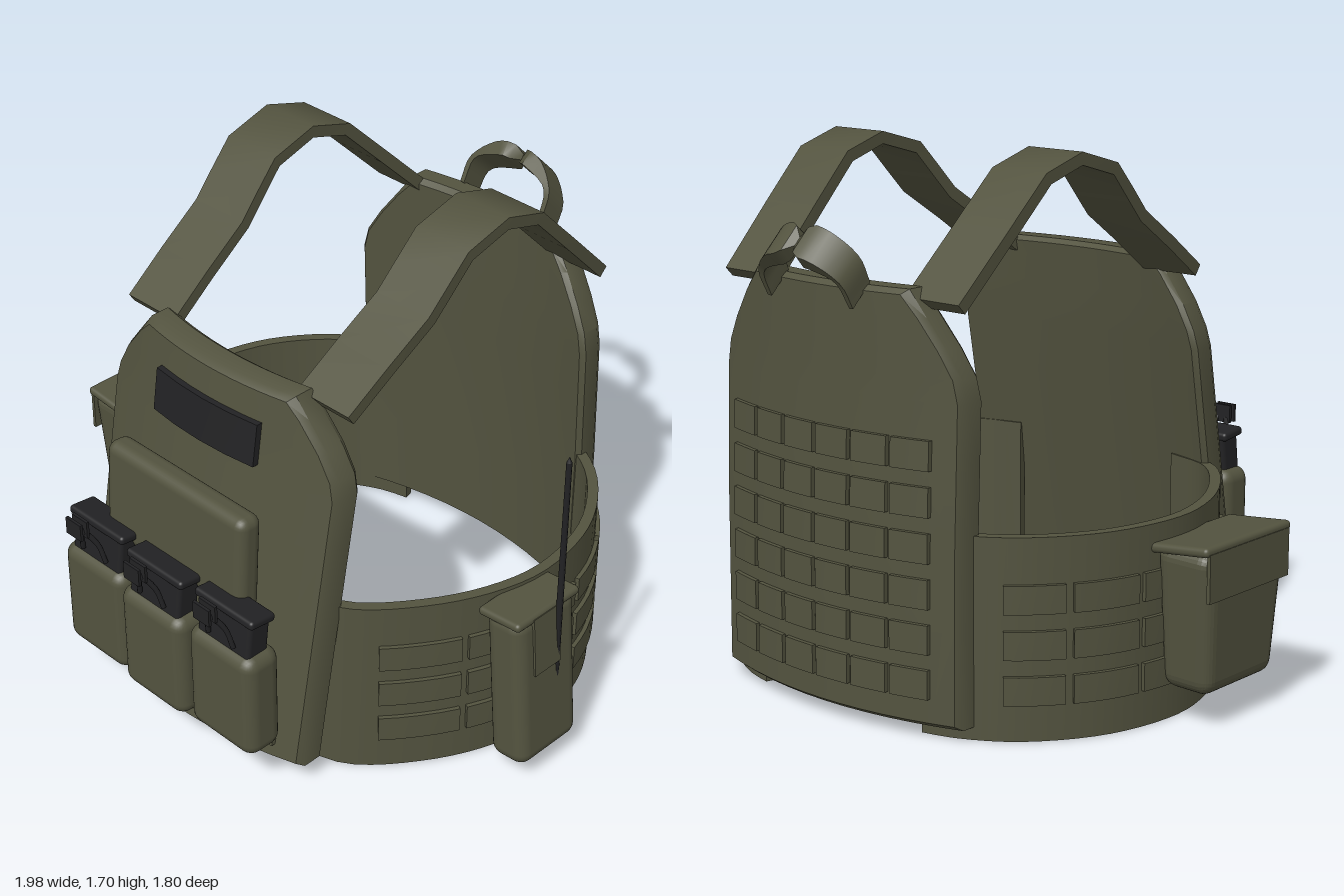
import * as THREE from 'three';
import { toCreasedNormals } from 'three/addons/utils/BufferGeometryUtils.js';
import { RoundedBoxGeometry } from 'three/addons/geometries/RoundedBoxGeometry.js';

const CX = 0.015; // symmetry line of the vest
const V = (x, y, z) => new THREE.Vector3(x, y, z);

// Linear lookup in a short [key, value] table with rising keys
function lookup(table, k) {
  for (let i = 1; i < table.length; i++) {
    const [k0, a] = table[i - 1], [k1, b] = table[i];
    if (k <= k1 || i === table.length - 1) return a + (b - a) * THREE.MathUtils.clamp((k - k0) / (k1 - k0), 0, 1);
  }
}

// Closed slab: f(u, v, s) gives a point, s = 0 inner face, s = 1 outer face
function slab(f, nu, nv, levels = [0, 1]) {
  const pos = [];
  const quad = (a, b, c, d) => [a, b, c, a, c, d].forEach(p => pos.push(p.x, p.y, p.z));
  for (let i = 0; i < nu; i++) for (let j = 0; j < nv; j++) {
    const p = (di, dj, s) => f((i + di) / nu, (j + dj) / nv, s);
    quad(p(0, 0, 1), p(1, 0, 1), p(1, 1, 1), p(0, 1, 1));
    quad(p(0, 0, 0), p(0, 1, 0), p(1, 1, 0), p(1, 0, 0));
  }
  const ring = [];
  for (let i = 0; i < nu; i++) ring.push([i / nu, 0]);
  for (let j = 0; j < nv; j++) ring.push([1, j / nv]);
  for (let i = nu; i > 0; i--) ring.push([i / nu, 1]);
  for (let j = nv; j > 0; j--) ring.push([0, j / nv]);
  ring.forEach((a, k) => {
    const b = ring[(k + 1) % ring.length];
    for (let l = 1; l < levels.length; l++) {
      const s0 = levels[l - 1], s1 = levels[l];
      quad(f(...a, s0), f(...b, s0), f(...b, s1), f(...a, s1));
    }
  });
  const g = new THREE.BufferGeometry();
  g.setAttribute('position', new THREE.Float32BufferAttribute(pos, 3));
  return toCreasedNormals(g, 0.6);
}

// Armour panel: half width and outer depth follow the height, bowed across x
function panelGeometry(ys, width, depth, thick, dir) {
  return slab((u, v, s) => {
    const edge = s === 0 || s === 1 ? 0.015 : 0;
    const k = v * (ys.length - 1);
    let y = ys[Math.round(k)];
    const w = lookup(width, y) - edge;
    if (v === 0) y += edge;
    if (v === 1) y -= edge;
    const x = (u * 2 - 1) * w;
    const z = lookup(depth, y) - 0.085 * (x / 0.49) ** 2 - thick * (1 - s);
    return V(CX + x * dir, y, z * dir);
  }, 12, ys.length - 1, [0, 0.2, 0.8, 1]);
}

// Thin patch lying on a panel's outer surface
const patchGeometry = (depth, x0, x1, y0, y1, t, dir) => slab((u, v, s) => {
  const x = x0 + (x1 - x0) * u, y = y0 + (y1 - y0) * v;
  return V(CX + x * dir, y, (lookup(depth, y) - 0.085 * (x / 0.49) ** 2 - 0.006 + (t + 0.006) * s) * dir);
}, 4, 1);

export function createModel() {
  const group = new THREE.Group();
  group.name = 'plateCarrierVest';
  const olive = new THREE.MeshStandardMaterial({ name: 'olive fabric', color: 0x53533f });
  const black = new THREE.MeshStandardMaterial({ name: 'black', color: 0x222224 });

  const add = (name, geo, mat, p = [0, 0, 0], r = [0, 0, 0], parent = group) => {
    const m = new THREE.Mesh(geo, mat);
    m.name = name;
    m.position.set(...p);
    m.rotation.set(...r);
    parent.add(m);
    return m;
  };
  const soft = (w, h, d, r) => new RoundedBoxGeometry(w, h, d, 3, r);

  // Front and back panels
  const frontDepth = [[0.1, 0.75], [1.07, 0.58], [1.31, 0.545]];
  const backDepth = [[0.05, 0.805], [0.6, 0.80], [1.05, 0.785], [1.35, 0.78]];
  add('frontPanel', panelGeometry([0.09, 0.35, 0.6, 0.85, 1.02, 1.08, 1.16, 1.25, 1.31],
    [[0.09, 0.495], [1.02, 0.495], [1.08, 0.48], [1.16, 0.435], [1.31, 0.315]], frontDepth, 0.105, 1), olive);
  add('backPanel', panelGeometry([0.05, 0.35, 0.6, 0.85, 1.03, 1.1, 1.18, 1.27, 1.35],
    [[0.05, 0.495], [1.03, 0.495], [1.1, 0.48], [1.18, 0.435], [1.35, 0.315]], backDepth, 0.1, -1), olive);

  // Webbing on the panels
  for (let row = 0; row < 6; row++) for (let col = 0; col < 6; col++) {
    const x = -0.42 + col * 0.14, y = 0.14 + row * 0.138;
    add('backWebbing', patchGeometry(backDepth, x, x + 0.125, y, y + 0.09, 0.014, -1), olive);
  }
  for (let col = 0; col < 6; col++) {
    const x = -0.42 + col * 0.14;
    add('frontWebbing', patchGeometry(frontDepth, x, x + 0.125, 0.15, 0.22, 0.014, 1), olive);
  }
  add('chestPatch', patchGeometry(frontDepth, -0.215, 0.225, 1.06, 1.2, 0.02, 1), black);

  // Side bands and their webbing, following one half-waist curve from front to back
  const waist = new THREE.CatmullRomCurve3([[0.335, 0.53], [0.51, 0.475], [0.68, 0.28], [0.775, 0.08],
    [0.805, -0.1], [0.75, -0.36], [0.6, -0.57], [0.44, -0.67], [0.335, -0.7]].map(([x, z]) => V(x, 0, z)));
  const uAtZ = z => {
    let a = 0, b = 1;
    for (let i = 0; i < 24; i++) { const m = (a + b) / 2; waist.getPointAt(m).z > z ? a = m : b = m; }
    return a;
  };
  const bandGeometry = (side, u0, u1, y0, y1, inner, outer, n) => slab((u, v, s) => {
    const k = u0 + (u1 - u0) * (side > 0 ? u : 1 - u);
    const p = waist.getPointAt(k), t = waist.getTangentAt(k), o = inner + (outer - inner) * s;
    return V(CX + side * (p.x - t.z * o), y0 + (y1 - y0) * v, p.z + t.x * o);
  }, n, 1);
  const columns = [[0.41, 0.2], [0.18, -0.01], [-0.03, -0.24], [-0.26, -0.45], [-0.47, -0.6]];
  for (const side of [1, -1]) {
    add('sideBand', bandGeometry(side, 0, 1, 0.01, 0.635, -0.025, 0.01, 32), olive);
    for (const y of [0.125, 0.265, 0.405]) for (const [z0, z1] of columns)
      add('sideWebbing', bandGeometry(side, uAtZ(z0), uAtZ(z1), y, y + 0.088, 0.005, 0.024, 4), olive);
  }

  // Shoulder straps: [z, y, distance of strap middle from the centre]
  const strapPath = [[0.43, 1.275, 0.375], [0.28, 1.38, 0.385], [0.12, 1.485, 0.395], [0.05, 1.56, 0.4],
    [-0.03, 1.645, 0.405], [-0.19, 1.69, 0.408], [-0.34, 1.645, 0.405], [-0.5, 1.49, 0.395], [-0.69, 1.305, 0.38]];
  for (const side of [1, -1]) {
    add('shoulderStrap', slab((u, v, s) => {
      const last = strapPath.length - 1, i = Math.round(v * last);
      const [z, y, x] = strapPath[i], a = strapPath[Math.max(i - 1, 0)], b = strapPath[Math.min(i + 1, last)];
      const n = V(0, a[0] - b[0], b[1] - a[1]).normalize().multiplyScalar((s - 0.5) * 0.04);
      return V(CX + side * x + (u - 0.5) * 0.21, y + n.y, z + n.z);
    }, 1, strapPath.length - 1), olive);
  }

  // Drag handle: padded loop pinched in the middle
  const loop = new THREE.CatmullRomCurve3([V(-0.15, 1.32, -0.775), V(-0.14, 1.4, -0.815), V(-0.06, 1.45, -0.845),
    V(0.02, 1.462, -0.85), V(0.1, 1.45, -0.845), V(0.18, 1.4, -0.815), V(0.19, 1.32, -0.775)]);
  const across = V(0, -0.7, -0.71);
  add('dragHandle', slab((u, v, s) => {
    const n = loop.getTangentAt(u).cross(across).normalize();
    const pad = lookup([[0, 0.1], [0.44, 0.12], [0.5, 0.03], [0.56, 0.12], [1, 0.1]], u);
    const t = lookup([[0, 0.016], [0.2, 0.02], [0.35, 0.05], [0.46, 0.05], [0.5, 0.02], [0.54, 0.05], [0.65, 0.05], [0.8, 0.02], [1, 0.016]], u);
    return loop.getPointAt(u).addScaledVector(across, (v - 0.5) * pad).addScaledVector(n, (s - 0.5) * t);
  }, 24, 1), olive);

  // Chest admin pouch
  add('chestPouch', soft(0.62, 0.34, 0.09, 0.035), olive, [CX, 0.785, 0.675], [-0.06, 0, 0]);

  // Magazine pouches with black magazines and pull loops
  [[-0.275, 0.745], [0.02, 0.765], [0.31, 0.745]].forEach(([x, z]) => {
    const unit = new THREE.Group();
    unit.name = 'magazinePouch';
    unit.position.set(x, 0, z);
    group.add(unit);
    add('pouchBody', soft(0.285, 0.38, 0.14, 0.045), olive, [0, 0.365, 0], [0, 0, 0], unit);
    add('magazine', soft(0.225, 0.2, 0.085, 0.015), black, [0, 0.57, 0.0], [-0.12, 0, 0], unit);
    add('magazineBase', soft(0.255, 0.03, 0.1, 0.012), black, [0, 0.672, -0.01], [-0.12, 0, 0], unit);
    for (const s of [-1, 1]) {
      const arm = new THREE.CatmullRomCurve3([V(s * 0.055, 0.57, 0.05), V(s * 0.04, 0.64, 0.065), V(s * 0.01, 0.705, 0.105)]);
      add('pullArm', new THREE.TubeGeometry(arm, 8, 0.009, 6), black, [0, 0, 0], [0, 0, 0], unit);
    }
    add('pullTab', new THREE.BoxGeometry(0.07, 0.06, 0.01), black, [0, 0.708, 0.12], [0, 0, 0], unit);
    add('pullTabInner', new THREE.BoxGeometry(0.07, 0.06, 0.01), black, [0, 0.708, 0.095], [0, 0, 0], unit);
    add('pullTabLink', new THREE.BoxGeometry(0.03, 0.015, 0.03), black, [0, 0.708, 0.108], [0, 0, 0], unit);
  });

  // Radio pouch on the model's left, leaning outward at the foot
  const radio = new THREE.Group();
  radio.name = 'radioPouch';
  radio.position.set(0.9, 0.345, 0.04);
  radio.rotation.z = 0.085;
  group.add(radio);
  add('radioBody', soft(0.145, 0.55, 0.27, 0.045), olive, [0, 0, 0], [0, 0, 0], radio);
  add('radioLid', soft(0.165, 0.03, 0.285, 0.014), olive, [-0.005, 0.268, 0], [0, 0, 0], radio);
  add('radioFlap', new THREE.BoxGeometry(0.012, 0.21, 0.115), olive, [0.074, 0.165, 0.015], [0, 0, 0], radio);
  add('antenna', new THREE.CylinderGeometry(0.009, 0.011, 0.8, 8), black, [0.962, 0.75, 0.003]);
  add('antennaTip', new THREE.ConeGeometry(0.009, 0.02, 8), black, [0.962, 1.16, 0.003]);

  // Utility pouch on the model's right: tapered body under a sloping lid
  const utility = soft(0.19, 0.45, 0.39, 0.045);
  const p = utility.attributes.position;
  for (let i = 0; i < p.count; i++) {
    const k = 0.92 + 0.18 * (p.getY(i) + 0.225) / 0.45;
    p.setX(i, p.getX(i) * k);
    p.setZ(i, p.getZ(i) * k * 0.95);
  }
  utility.computeVertexNormals();
  add('utilityPouch', utility, olive, [-0.885, 0.345, 0.005], [0, 0, 0.02]);
  add('utilityLid', soft(0.235, 0.03, 0.43, 0.014), olive, [-0.875, 0.57, 0.005], [0, 0, -0.1]);
  add('utilityFlap', new THREE.BoxGeometry(0.012, 0.15, 0.4), olive, [-0.987, 0.5, 0.005]);

  return group;
}
